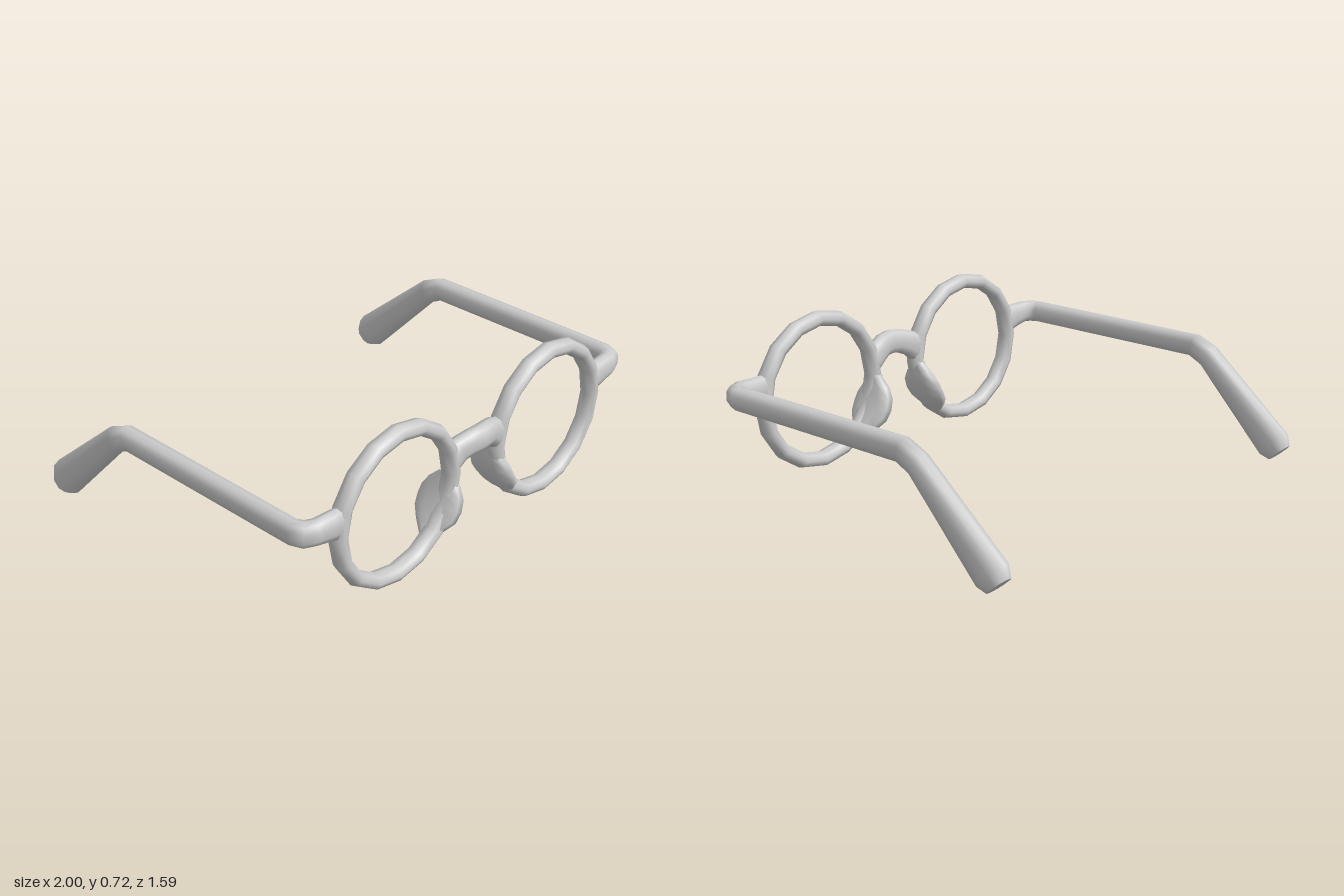
import * as THREE from 'three';

const material = new THREE.MeshStandardMaterial({ color: 0xcccccc, side: THREE.DoubleSide });
const V = (x, y, z) => new THREE.Vector3(x, y, z);
const Y = V(0, 1, 0), Z = V(0, 0, 1);

// Sweep a slightly squared oval along stations [x, y, z, halfWidth, halfHeight], with flat end caps
function sweep(stations, up = Y, sides = 10) {
  const pts = stations.map(s => V(s[0], s[1], s[2]));
  const pos = [], index = [], last = pts.length - 1;
  const squash = t => Math.sign(t) * Math.abs(t) ** 0.85;
  const addRing = i => {
    const before = pts[Math.max(i - 1, 0)], after = pts[Math.min(i + 1, last)];
    const tangent = V(0, 0, 0);
    if (i > 0) tangent.add(pts[i].clone().sub(before).normalize());
    if (i < last) tangent.add(after.clone().sub(pts[i]).normalize());
    tangent.normalize();
    const side = up.clone().cross(tangent).normalize();
    const rise = tangent.clone().cross(side);
    for (let j = 0; j < sides; j++) {
      const t = (j + 0.5) / sides * Math.PI * 2;
      const p = pts[i].clone()
        .addScaledVector(side, squash(Math.cos(t)) * stations[i][3])
        .addScaledVector(rise, squash(Math.sin(t)) * stations[i][4]);
      pos.push(p.x, p.y, p.z);
    }
  };
  for (let i = 0; i <= last; i++) addRing(i);
  for (let i = 0; i < last; i++) for (let j = 0; j < sides; j++) {
    const a = i * sides + j, b = i * sides + (j + 1) % sides;
    index.push(a, b, a + sides, b, b + sides, a + sides);
  }
  // caps have their own vertices so their rims stay crisp
  for (const i of [0, last]) {
    const start = pos.length / 3;
    addRing(i);
    for (let j = 1; j < sides - 1; j++) {
      if (i === 0) index.push(start, start + j + 1, start + j);
      else index.push(start, start + j, start + j + 1);
    }
  }
  const g = new THREE.BufferGeometry();
  g.setAttribute('position', new THREE.Float32BufferAttribute(pos, 3));
  g.setIndex(index);
  g.computeVertexNormals();
  return g;
}

export function createModel() {
  const group = new THREE.Group();
  const add = (name, geometry) => {
    const m = new THREE.Mesh(geometry, material);
    m.name = name;
    group.add(m);
    return m;
  };
  const rimX = 0.455, rimY = 0.363, rimZ = 0.717, rimR = 0.319;

  for (const [s, label] of [[1, 'left'], [-1, 'right']]) {
    // Round lens rim
    const rim = new THREE.TorusGeometry(rimR, 0.034, 8, 16);
    rim.scale(1, 1, 1.24);
    add(label + 'Rim', rim).position.set(s * rimX, rimY, rimZ);

    // Hinge piece, temple arm and drooping, thickened ear tip in one sweep
    const arm = [
      [0.765, 0.432, 0.717, 0.035, 0.07],
      [0.82, 0.442, 0.717, 0.039, 0.06],
      [0.89, 0.45, 0.714, 0.041, 0.052],
      [0.928, 0.45, 0.695, 0.045, 0.052],
      [0.945, 0.45, 0.655, 0.041, 0.052],
      [0.945, 0.45, -0.28, 0.041, 0.054],
      [0.945, 0.413, -0.36, 0.041, 0.056],
      [0.945, 0.072, -0.726, 0.055, 0.082],
      [0.945, 0.038, -0.757, 0.047, 0.055],
    ];
    add(label + 'Temple', sweep(arm.map(([x, ...rest]) => [s * x, ...rest])));

    // Nose pad: a hump following the back of the rim
    const pad = [];
    const depths = [0.02, 0.075, 0.105, 0.112, 0.105, 0.07, 0.02];
    depths.forEach((d, i) => {
      const t = Math.PI * (1 + 0.29 * i / 6);
      pad.push([s * (rimX + rimR * Math.cos(t)), rimY + rimR * Math.sin(t), 0.69, 0.02 + d * 0.13, d]);
    });
    add(label + 'NosePad', sweep(pad, Z, 8));
  }

  // Arched bridge, bowed up and forward
  const half = [
    [0.145, 0.428, 0.717, 0.038, 0.068],
    [0.095, 0.457, 0.721, 0.04, 0.057],
    [0.05, 0.473, 0.736, 0.041, 0.055],
  ];
  const bridge = [
    ...half.map(([x, ...rest]) => [-x, ...rest]),
    [0, 0.477, 0.744, 0.042, 0.056],
    ...half.slice().reverse(),
  ];
  add('bridge', sweep(bridge));

  return group;
}
